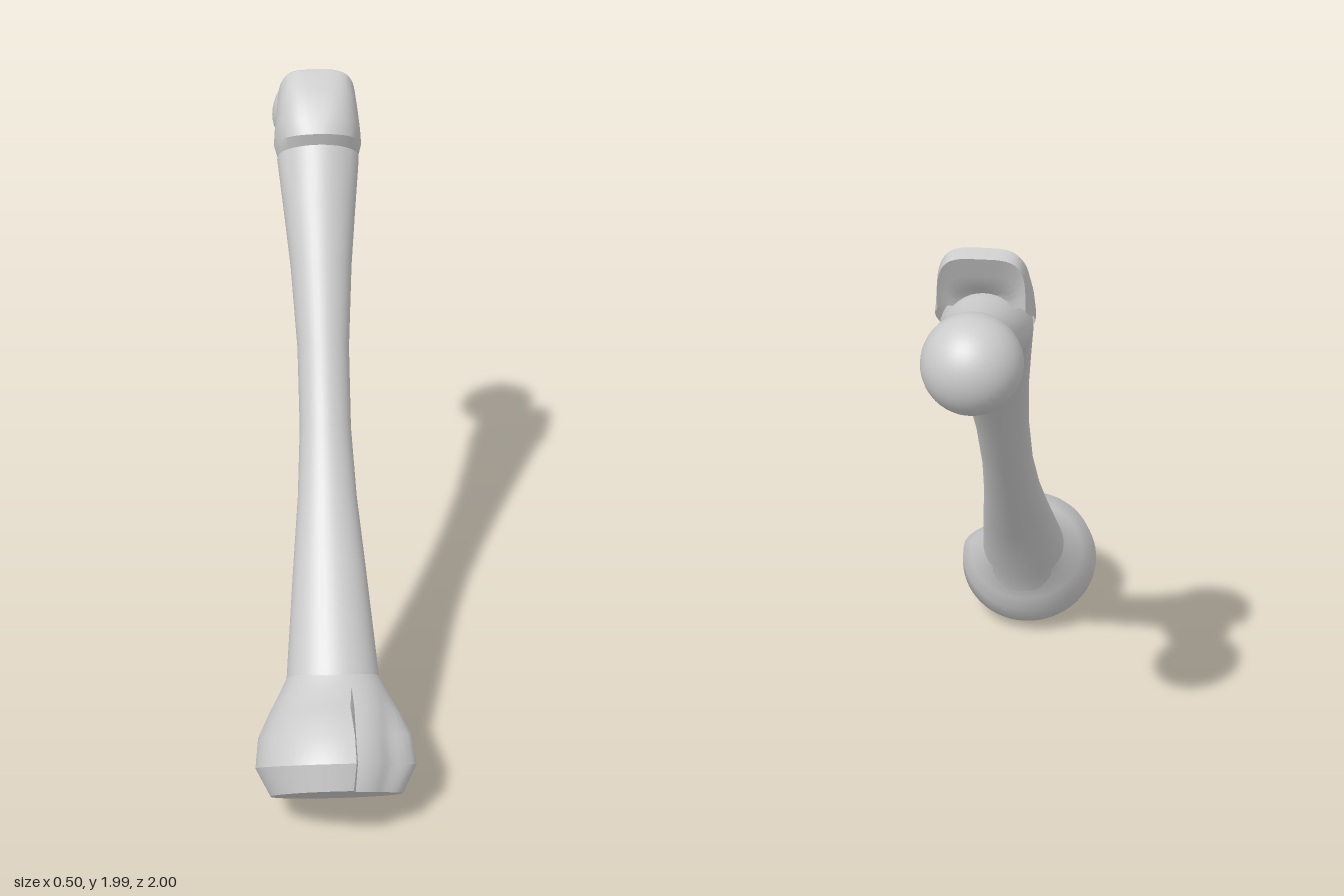
import * as THREE from 'three';
import { toCreasedNormals } from 'three/addons/utils/BufferGeometryUtils.js';

const material = new THREE.MeshStandardMaterial({ color: 0xcccccc, side: THREE.DoubleSide });

// Skin a row of sections. Each is [upper z, upper y, lower z, lower y, half width,
// squareness exponent, notch depth]; sweep is the angle covered, from +x over the upper side.
function loft(rings, segments, sweep) {
  const pos = [], index = [];
  for (const [uz, uy, lz, ly, w, e = 1, notch = 0] of rings) {
    for (let j = 0; j <= segments; j++) {
      const a = (j / segments) * sweep;
      const k = 1 - notch * notchProfile(THREE.MathUtils.radToDeg(a));
      const c = power(Math.cos(a), e) * k, s = power(Math.sin(a), e) * k;
      pos.push(c * w, (uy + ly) / 2 + (s * (uy - ly)) / 2, (uz + lz) / 2 + (s * (uz - lz)) / 2);
    }
  }
  const row = segments + 1;
  for (let i = 0; i < rings.length - 1; i++) {
    for (let j = 0; j < segments; j++) {
      const a = i * row + j, d = a + row;
      index.push(a, a + 1, d + 1, a, d + 1, d);
    }
  }
  const geometry = new THREE.BufferGeometry();
  geometry.setAttribute('position', new THREE.Float32BufferAttribute(pos, 3));
  geometry.setIndex(index);
  return toCreasedNormals(geometry, 0.55);
}

const power = (v, e) => Math.sign(v) * Math.pow(Math.abs(v), e);

// Gentle slope on the outer side, abrupt wall near the middle
function notchProfile(deg) {
  if (deg > 72) return 0;
  return THREE.MathUtils.smoothstep(deg, 2, 36);
}

function add(group, name, geometry) {
  const mesh = new THREE.Mesh(geometry, material);
  mesh.name = name;
  group.add(mesh);
  return mesh;
}

export function createModel() {
  const group = new THREE.Group();
  group.name = 'thighBone';

  // Neck and slanted shaft, from the ball down to the knee end
  add(group, 'shaftAndNeck', loft([
    [-0.79, 1.88, -0.78, 1.64, 0.11],
    [-0.72, 1.855, -0.72, 1.665, 0.093],
    [-0.63, 1.86, -0.66, 1.655, 0.11],
    [-0.50, 1.84, -0.635, 1.645, 0.13],
    [-0.41, 1.81, -0.60, 1.64, 0.135],
    [-0.31, 1.66, -0.48, 1.525, 0.118],
    [-0.20, 1.50, -0.35, 1.385, 0.10],
    [-0.05, 1.28, -0.18, 1.165, 0.084],
    [0.10, 1.06, -0.02, 0.955, 0.083],
    [0.24, 0.89, 0.12, 0.77, 0.095],
    [0.40, 0.73, 0.25, 0.60, 0.115],
    [0.66, 0.50, 0.47, 0.31, 0.145],
    [0.72, 0.43, 0.50, 0.24, 0.15],
  ], 40, Math.PI * 2));

  // Swollen knee end with a notch on one side and a flat face
  add(group, 'kneeEnd', loft([
    [0.66, 0.49, 0.47, 0.31, 0.143],
    [0.71, 0.46, 0.49, 0.285, 0.165],
    [0.80, 0.445, 0.515, 0.20, 0.205, 1, 0.12],
    [0.92, 0.425, 0.53, 0.14, 0.24, 1, 0.24],
    [0.985, 0.37, 0.59, 0.06, 0.25, 1, 0.24],
    [1.0, 0.28, 0.68, 0.01, 0.205, 1, 0.2],
    [0.841, 0.146, 0.839, 0.144, 0.001],
  ], 60, Math.PI * 2));

  // Hood-shaped crest over the top of the shaft, hollow at the back
  add(group, 'crest', loft([
    [-0.56, 1.84, -0.56, 1.82, 0.03],
    [-0.60, 1.88, -0.60, 1.76, 0.085, 0.8],
    [-0.62, 1.92, -0.62, 1.74, 0.11, 0.6],
    [-0.65, 1.985, -0.63, 1.675, 0.125, 0.5],
    [-0.60, 2.0, -0.65, 1.63, 0.13, 0.5],
    [-0.52, 1.965, -0.69, 1.64, 0.136, 0.6],
    [-0.435, 1.895, -0.71, 1.68, 0.142, 0.75],
    [-0.40, 1.85, -0.68, 1.67, 0.144, 0.9],
    [-0.41, 1.81, -0.62, 1.65, 0.134],
  ], 28, Math.PI));

  // Ball of the hip joint
  const ball = add(group, 'ball', new THREE.SphereGeometry(0.143, 32, 24));
  ball.position.set(0, 1.76, -0.855);

  return group;
}
